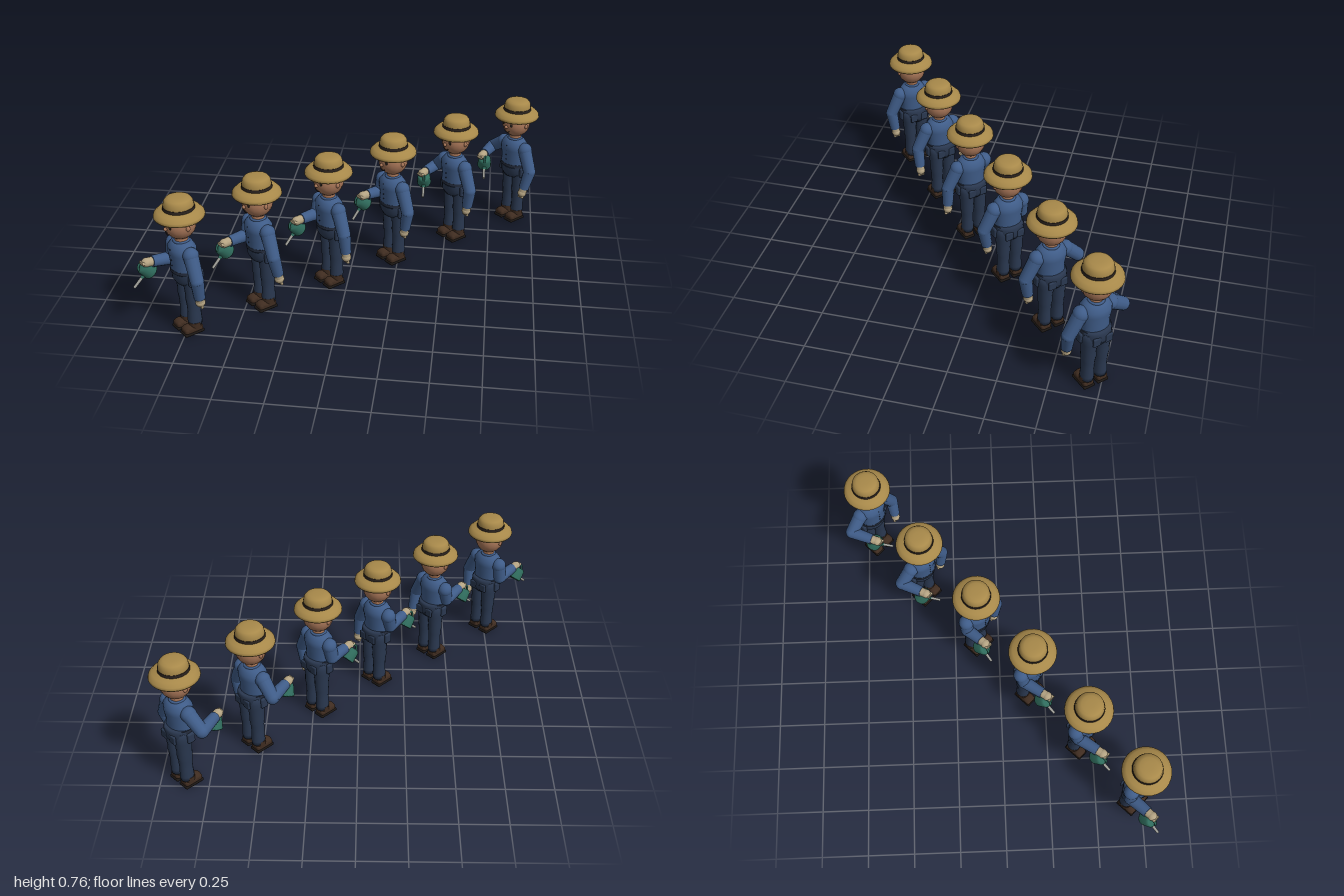
import * as THREE from 'three';
import { RoundedBoxGeometry } from 'three/addons/geometries/RoundedBoxGeometry.js';

const mat = (color, side = THREE.FrontSide) => new THREE.MeshStandardMaterial({ color, side });
const M = {
  straw: mat(0xa8894a, THREE.DoubleSide), dark: mat(0x2a221d), skin: mat(0xa87658), shirt: mat(0x3f5c88),
  pants: mat(0x2a3850), shoe: mat(0x3f2c20), sole: mat(0x1c1714), glove: mat(0xb5a483),
  can: mat(0x2f6b5c), metal: mat(0x9a9a94), belt: mat(0x222a3a),
};
const V = (x, y, z) => new THREE.Vector3(x, y, z);

function add(parent, name, geometry, material, x = 0, y = 0, z = 0) {
  const mesh = new THREE.Mesh(geometry, material);
  mesh.name = name;
  mesh.position.set(x, y, z);
  parent.add(mesh);
  return mesh;
}

function ball(parent, name, material, x, y, z, rx, ry = rx, rz = rx) {
  const b = add(parent, name, new THREE.SphereGeometry(1, 16, 12), material, x, y, z);
  b.scale.set(rx, ry, rz);
}

const lathe = (points, seg = 24) =>
  new THREE.LatheGeometry(points.map(p => new THREE.Vector2(p[0], p[1])), seg);

// Tapered cylinder running from a to b
function limb(parent, name, material, a, b, ra, rb) {
  const d = b.clone().sub(a);
  const m = add(parent, name, new THREE.CylinderGeometry(rb, ra, d.length(), 14), material);
  m.position.copy(a).addScaledVector(d, 0.5);
  m.quaternion.setFromUnitVectors(V(0, 1, 0), d.normalize());
}

// Sleeve with shoulder, elbow, cuff and a gloved hand
function makeArm(parent, side, shoulder, elbow, hand) {
  const arm = new THREE.Group();
  arm.name = side + 'Arm';
  const dir = hand.clone().sub(elbow).normalize();
  const wrist = hand.clone().addScaledVector(dir, -0.03);
  ball(arm, 'shoulder', M.shirt, ...shoulder, 0.041);
  limb(arm, 'upperSleeve', M.shirt, shoulder, elbow, 0.039, 0.035);
  ball(arm, 'elbow', M.shirt, ...elbow, 0.035);
  limb(arm, 'lowerSleeve', M.shirt, elbow, wrist, 0.035, 0.029);
  limb(arm, 'gloveCuff', M.glove, wrist, hand, 0.024, 0.023);
  ball(arm, 'palm', M.glove, ...hand, 0.025, 0.024, 0.026);
  for (let i = 0; i < 3; i++) {
    const k = hand.clone().addScaledVector(dir, 0.01).add(V((i - 1) * 0.012, 0, 0));
    limb(arm, 'finger', M.glove, k, k.clone().addScaledVector(dir, 0.02), 0.009, 0.008);
  }
  parent.add(arm);
}

function makeLeg(parent, s) {
  const leg = new THREE.Group();
  leg.name = s > 0 ? 'leftLeg' : 'rightLeg';
  const trouser = add(leg, 'trouserLeg', lathe([[0.001, 0.045], [0.033, 0.045], [0.035, 0.07], [0.032, 0.12],
    [0.034, 0.17], [0.038, 0.2], [0.037, 0.23], [0.042, 0.29], [0.044, 0.32], [0.04, 0.36], [0.001, 0.365]], 16),
  M.pants, s * 0.038, 0, -0.019);
  trouser.scale.z = 1.08;
  // Boot: sole, upper, toe cap and ankle
  add(leg, 'sole', new RoundedBoxGeometry(0.064, 0.016, 0.11, 2, 0.006), M.sole, s * 0.04, 0.008, 0.002);
  add(leg, 'bootUpper', new RoundedBoxGeometry(0.06, 0.034, 0.104, 3, 0.014), M.shoe, s * 0.04, 0.026, 0.002);
  ball(leg, 'toeCap', M.shoe, s * 0.04, 0.032, 0.026, 0.031, 0.021, 0.03);
  add(leg, 'bootAnkle', new THREE.CylinderGeometry(0.035, 0.034, 0.035, 14), M.shoe, s * 0.039, 0.046, -0.016);
  parent.add(leg);
}

function makeTorso(parent) {
  const torso = add(parent, 'shirt', lathe([[0.001, 0.35], [0.072, 0.35], [0.078, 0.375], [0.076, 0.41], [0.084, 0.46],
    [0.083, 0.49], [0.062, 0.517], [0.034, 0.528], [0.001, 0.53]]), M.shirt);
  torso.scale.z = 0.8;
  const hips = add(parent, 'hips', lathe([[0.001, 0.28], [0.06, 0.285], [0.08, 0.315], [0.08, 0.36],
    [0.074, 0.375], [0.001, 0.376]]), M.pants, 0, 0, -0.012);
  hips.scale.z = 0.86;
  const belt = add(parent, 'belt', new THREE.CylinderGeometry(0.08, 0.082, 0.016, 24), M.belt, 0, 0.365, -0.004);
  belt.scale.z = 0.84;
  for (const s of [-1, 1]) {
    add(parent, 'toolPouch', new RoundedBoxGeometry(0.024, 0.06, 0.044, 2, 0.01), M.pants, s * 0.08, 0.325, 0);
    add(parent, 'backPocket', new RoundedBoxGeometry(0.044, 0.048, 0.014, 2, 0.006), M.pants, s * 0.034, 0.325, -0.075);
  }
  for (let i = 0; i < 4; i++) ball(parent, 'button', M.belt, 0, 0.4 + i * 0.03, 0.063 + i * 0.001, 0.003);
  const collar = add(parent, 'collar', new THREE.TorusGeometry(0.035, 0.008, 8, 20), M.shirt, 0, 0.523, 0);
  collar.rotation.x = Math.PI / 2;
}

function makeHead(parent) {
  const head = new THREE.Group();
  head.name = 'head';
  add(head, 'neck', new THREE.CylinderGeometry(0.03, 0.034, 0.06, 14), M.skin, 0, 0.545, 0);
  ball(head, 'skull', M.skin, 0, 0.62, 0, 0.08, 0.082, 0.08);
  ball(head, 'nose', M.skin, 0, 0.61, 0.079, 0.01, 0.01, 0.012);
  ball(head, 'hair', M.dark, 0, 0.658, -0.009, 0.081, 0.045, 0.077);
  for (const s of [-1, 1]) {
    ball(head, 'ear', M.skin, s * 0.079, 0.618, 0, 0.009, 0.014, 0.011);
    ball(head, 'eye', M.dark, s * 0.028, 0.625, 0.071, 0.009, 0.011, 0.005);
    const brow = add(head, 'eyebrow', new THREE.BoxGeometry(0.022, 0.005, 0.005), M.dark, s * 0.029, 0.644, 0.07);
    brow.rotation.set(0, s * 0.35, s * -0.15);
  }
  const smile = add(head, 'mouth', new THREE.TorusGeometry(0.02, 0.0025, 6, 12, Math.PI * 0.7), M.dark, 0, 0.596, 0.072);
  smile.rotation.z = Math.PI * 1.15;
  // Straw hat: drooping brim, dark band and domed crown
  add(head, 'hatBrim', lathe([[0.066, 0.684], [0.1, 0.668], [0.12, 0.656], [0.126, 0.664], [0.123, 0.677],
    [0.105, 0.695], [0.066, 0.705]], 28), M.straw);
  add(head, 'hatCrown', lathe([[0.075, 0.685], [0.075, 0.72], [0.071, 0.742], [0.061, 0.755], [0.045, 0.761],
    [0.022, 0.763], [0, 0.763]], 28), M.straw);
  add(head, 'hatBand', new THREE.CylinderGeometry(0.077, 0.079, 0.018, 28), M.dark, 0, 0.708, 0);
  parent.add(head);
}

function makeWateringCan() {
  const can = new THREE.Group();
  can.name = 'wateringCan';
  const body = add(can, 'canBody', lathe([[0, -0.036], [0.037, -0.036], [0.04, -0.03], [0.036, 0.024],
    [0.026, 0.034], [0, 0.035]], 16), M.can);
  body.scale.z = 1.05;
  const handle = add(can, 'canHandle', new THREE.TorusGeometry(0.028, 0.006, 8, 16, Math.PI), M.can, 0, 0.025, 0);
  handle.rotation.y = Math.PI / 2;
  limb(can, 'spoutBase', M.can, V(0, -0.012, 0.03), V(0, -0.012, 0.052), 0.014, 0.009);
  limb(can, 'spout', M.metal, V(0, -0.012, 0.048), V(0, -0.012, 0.112), 0.008, 0.007);
  return can;
}

// Position along the row, right elbow, right hand, can position, can tilt and turn, left hand
const steps = [
  { at: [-0.747, 0.7], elbow: [-0.088, 0.385, 0.01], grip: [-0.09, 0.155], can: [-0.105, 0.15], tilt: 0.72, turn: 0, hand: [0.128, -0.008] },
  { at: [-0.42, 0.435], elbow: [-0.08, 0.395, 0.02], grip: [-0.058, 0.172], can: [-0.075, 0.166], tilt: 0.72, turn: 0.08, hand: [0.144, -0.02] },
  { at: [-0.098, 0.165], elbow: [-0.08, 0.395, 0.02], grip: [-0.058, 0.168], can: [-0.075, 0.161], tilt: 0.75, turn: 0.08, hand: [0.15, 0] },
  { at: [0.212, -0.117], elbow: [-0.09, 0.395, 0.01], grip: [-0.085, 0.14], can: [-0.1, 0.133], tilt: 0.85, turn: 0, hand: [0.118, 0.01] },
  { at: [0.536, -0.412], elbow: [-0.158, 0.4, -0.005], grip: [-0.113, 0.14], can: [-0.118, 0.122], tilt: 0.6, turn: 0.8, hand: [0.122, 0.008] },
  { at: [0.872, -0.692], elbow: [-0.168, 0.41, 0.01], grip: [-0.11, 0.152], can: [-0.108, 0.13], tilt: 0.5, turn: 0.8, hand: [0.125, 0.04] },
];

export function createModel() {
  const model = new THREE.Group();
  model.name = 'rowOfGardeners';
  steps.forEach((step, i) => {
    const g = new THREE.Group();
    g.name = 'gardener' + (i + 1);
    makeTorso(g);
    makeHead(g);
    for (const s of [-1, 1]) makeLeg(g, s);
    makeArm(g, 'left', V(0.083, 0.472, 0), V(0.141, 0.355, 0.008), V(step.hand[0], 0.222, step.hand[1]));
    makeArm(g, 'right', V(-0.083, 0.472, 0), V(...step.elbow), V(step.grip[0], 0.408, step.grip[1]));
    const can = makeWateringCan();
    can.position.set(step.can[0], 0.363, step.can[1]);
    can.rotation.set(step.tilt, step.turn, 0, 'YXZ');
    g.add(can);
    g.position.set(step.at[0], 0, step.at[1]);
    g.rotation.y = -Math.PI / 4;
    model.add(g);
  });
  return model;
}
